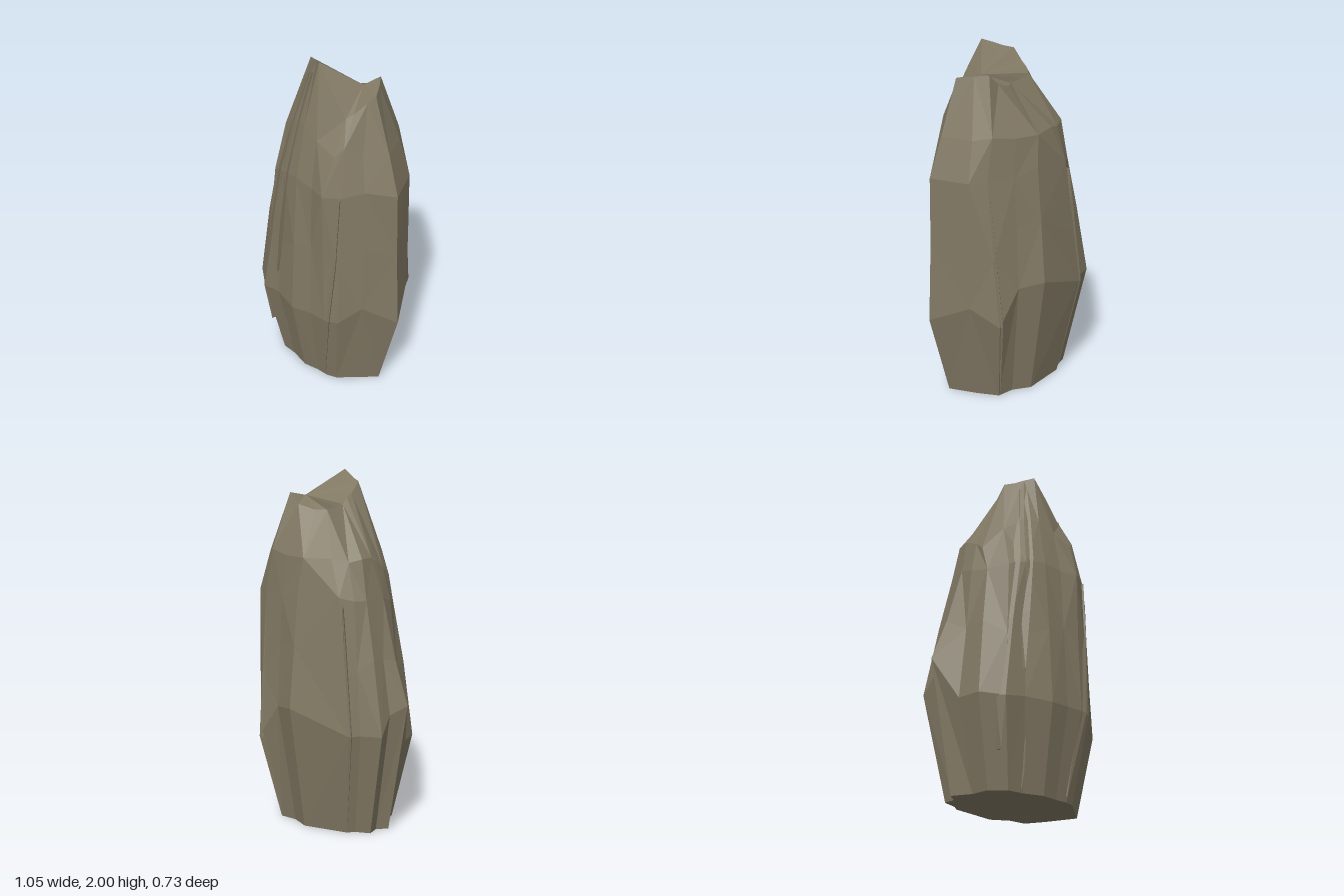
import * as THREE from 'three';

const stone = new THREE.MeshStandardMaterial({ color: 0x827964, flatShading: true });
stone.name = 'brown grey stone';

// Cross-sections as [x, y, z], counter-clockwise from the front
const belt = [
  [0.02, 0.49, 0.365], [0.14, 0.5, 0.33], [0.24, 0.5, 0.315], [0.31, 0.5, 0.28], [0.4, 0.6, 0.17],
  [0.525, 0.49, 0.01], [0.385, 0.6, -0.19], [0.275, 0.5, -0.32], [0.14, 0.7, -0.31], [0, 0.72, -0.365],
  [-0.335, 0.6, -0.262], [-0.375, 0.6, -0.21], [-0.48, 0.6, -0.155], [-0.46, 0.7, -0.06],
  [-0.525, 0.75, 0.015], [-0.42, 0.5, 0.14], [-0.375, 0.5, 0.27], [-0.255, 0.48, 0.345], [-0.135, 0.5, 0.34],
];
const shoulder = [
  [0.02, 1.35, 0.31], [0.13, 1.33, 0.3], [0.23, 1.33, 0.315], [0.31, 1.33, 0.25], [0.385, 1.36, 0.15],
  [0.495, 1.33, 0.015], [0.38, 1.33, -0.185], [0.29, 1.33, -0.23], [0.14, 1.33, -0.27], [0, 1.38, -0.29],
  [-0.24, 1.35, -0.23], [-0.3, 1.33, -0.175], [-0.34, 1.33, -0.12], [-0.345, 1.33, -0.05],
  [-0.35, 1.33, 0.015], [-0.335, 1.3, 0.1], [-0.285, 1.28, 0.19], [-0.2, 1.3, 0.28], [-0.1, 1.33, 0.3],
];
const crown = [
  [0.02, 1.65, 0.25], [0.12, 1.6, 0.25], [0.24, 1.55, 0.24], [0.28, 1.6, 0.2], [0.335, 1.55, 0.12],
  [0.42, 1.55, 0.01], [0.33, 1.55, -0.15], [0.25, 1.57, -0.22], [0.12, 1.55, -0.25], [-0.02, 1.55, -0.268],
  [-0.16, 1.55, -0.2], [-0.24, 1.53, -0.15], [-0.3, 1.55, -0.11], [-0.3, 1.55, -0.03],
  [-0.3, 1.53, 0.01], [-0.295, 1.49, 0.08], [-0.29, 1.44, 0.14], [-0.19, 1.56, 0.205], [-0.07, 1.65, 0.23],
];
const rim = [
  [0.045, 2, 0.165], [0.13, 1.88, 0.16], [0.23, 1.74, 0.145], [0.25, 1.76, 0.11], [0.29, 1.82, 0.05],
  [0.315, 1.855, 0.015], [0.255, 1.87, -0.065], [0.2, 1.88, -0.125], [0.14, 1.82, -0.125], [0.05, 1.79, -0.09],
  [0, 1.79, -0.045], [-0.07, 1.81, -0.05], [-0.115, 1.83, -0.05], [-0.12, 1.86, -0.02],
  [-0.12, 1.885, 0.02], [-0.12, 1.91, 0.05], [-0.115, 1.945, 0.085], [-0.06, 1.96, 0.11], [-0.01, 1.98, 0.138],
];

// Skin through stacked rings, closed by fans to a bottom and a top point
function loft(rings, bottom, top) {
  const pos = [];
  const tri = (a, b, c) => pos.push(...a, ...b, ...c);
  const n = rings[0].length;
  for (let i = 0; i < n; i++) {
    const j = (i + 1) % n;
    for (let k = 0; k + 1 < rings.length; k++) {
      const a = rings[k][i], b = rings[k][j], c = rings[k + 1][j], d = rings[k + 1][i];
      if ((i + k) % 2) { tri(a, b, c); tri(a, c, d); } else { tri(a, b, d); tri(b, c, d); }
    }
    tri(bottom, rings[0][j], rings[0][i]);
    const last = rings[rings.length - 1];
    tri(top, last[i], last[j]);
  }
  const geo = new THREE.BufferGeometry();
  geo.setAttribute('position', new THREE.Float32BufferAttribute(pos, 3));
  geo.computeVertexNormals();
  return geo;
}

// Thin raised splinter: three-sided section following a path on the rock face
function splinter(path, nx, nz, width) {
  const rings = path.map(([x, y, z], i) => {
    const w = i === 0 || i === path.length - 1 ? width * 0.3 : width;
    const at = (side, out) => [x + nz * side + nx * out, y, z - nx * side + nz * out];
    return [at(-w, -0.02), at(w * 0.4, 0.01), at(w * 0.6, -0.03)];
  });
  return loft(rings, path[0], path[path.length - 1]);
}

export function createModel() {
  const group = new THREE.Group();
  group.name = 'standing rock';
  const add = (geo, name) => {
    const mesh = new THREE.Mesh(geo, stone);
    mesh.name = name;
    group.add(mesh);
  };

  // Main boulder: foot, widest belt, uneven waist, shoulder, crown, tilted top with a ridge
  const foot = belt.map(([x, , z]) => [x * 0.75, 0, z * 0.715 + 0.015]);
  const waist = belt.map(([x, y, z], i) => {
    const s = shoulder[i], f = 1 - 0.015 * Math.cos((i - 5) * 1.9);
    return [(x + s[0]) / 2 * f, (y + s[1]) / 2 + 0.05 * Math.sin(i * 1.7), (z + s[2]) / 2 * f];
  });
  add(loft([foot, belt, waist, shoulder, crown, rim], [0, 0, 0], [0.18, 1.86, -0.02]), 'boulder');

  // Splinters along the cracks
  const cracks = [
    [[[-0.14, 0.65, 0.337], [-0.11, 1.0, 0.325], [-0.07, 1.36, 0.3], [-0.045, 1.65, 0.235], [-0.015, 1.92, 0.16]], 0, 1, 0.03],
    [[[-0.26, 0.2, 0.29], [-0.27, 0.48, 0.337], [-0.21, 0.95, 0.315], [-0.15, 1.33, 0.293], [-0.11, 1.62, 0.22], [-0.05, 1.9, 0.145]], -0.1, 1, 0.03],
    [[[0.17, 0.03, 0.245], [0.26, 0.5, 0.31], [0.29, 0.9, 0.285], [0.305, 1.32, 0.255]], 0.6, 0.8, 0.03],
    [[[-0.115, 0.02, 0.255], [-0.115, 0.12, 0.275], [-0.115, 0.28, 0.3]], 0, 1, 0.02],
    [[[0.2, 0.03, -0.215], [0.265, 0.5, -0.315], [0.28, 1.25, -0.235]], 0.5, -0.86, 0.03],
    [[[-0.25, 0.03, -0.17], [-0.335, 0.6, -0.255], [-0.26, 1.3, -0.225]], -0.5, -0.86, 0.03],
  ];
  cracks.forEach(([path, nx, nz, w], i) => add(splinter(path, nx, nz, w), 'splinter ' + (i + 1)));
  return group;
}
